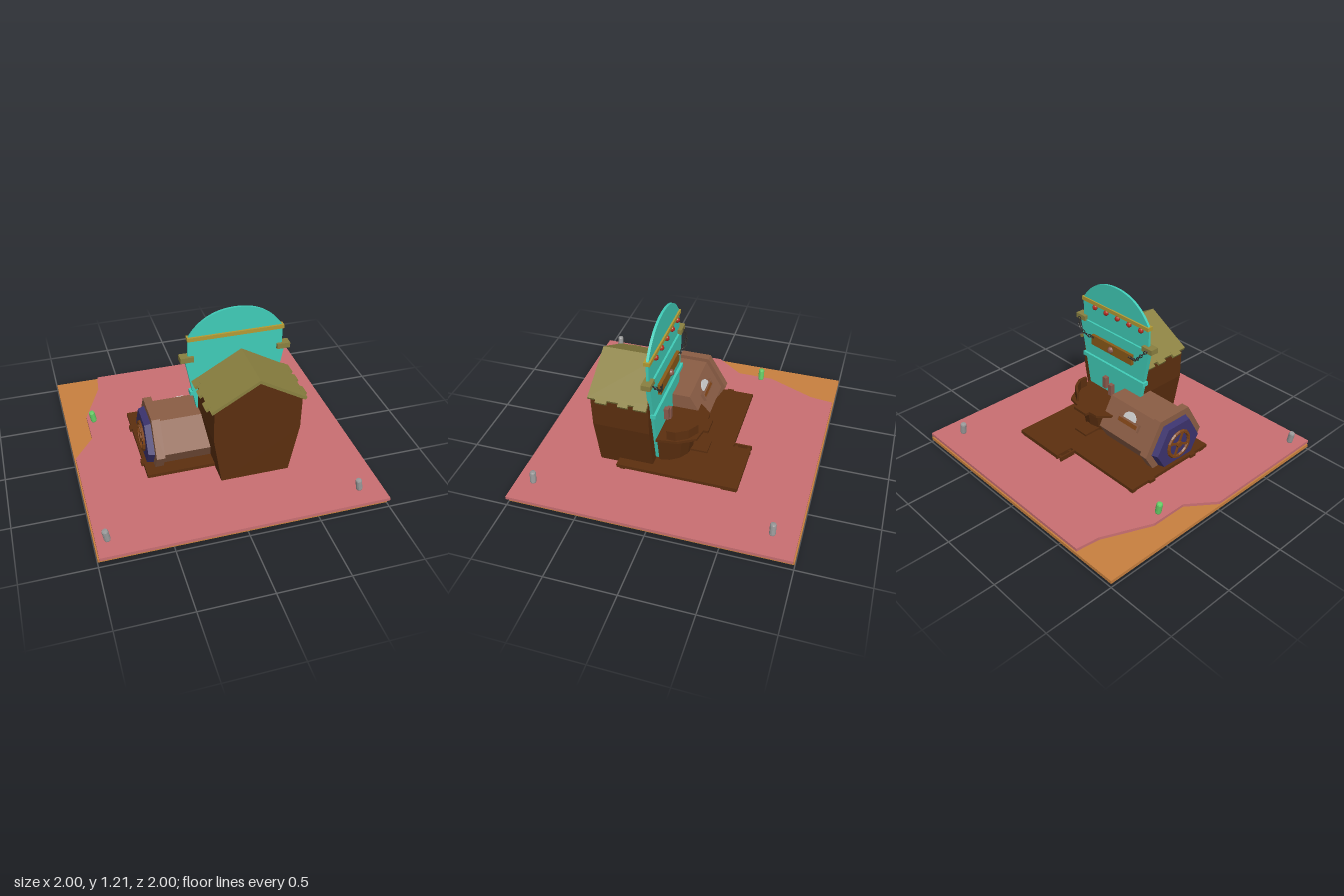
import * as THREE from 'three';

const mat = (color) => new THREE.MeshStandardMaterial({ color, flatShading: true, side: THREE.DoubleSide });
const M = {
  pink: mat(0xc96f72), orange: mat(0xc8803f), brown: mat(0x5c2f0f), teal: mat(0x40ccb8),
  olive: mat(0x8a8040), yellow: mat(0xb39b35), barrel: mat(0x8b5d45), navy: mat(0x3c336e),
  wheel: mat(0x7d4316), plank: mat(0x8a5a18), red: mat(0xb02a1c), iron: mat(0x2c2a28),
  grey: mat(0x999999), green: mat(0x66cc66), white: mat(0xcccccc), clay: mat(0x8a5a4c),
};

export function createModel() {
  const root = new THREE.Group();

  const add = (name, geo, m, parent = root) => {
    const mesh = new THREE.Mesh(geo, m);
    mesh.name = name;
    parent.add(mesh);
    return mesh;
  };
  // box given by its min and max on each axis
  const box = (name, m, x0, x1, y0, y1, z0, z1, parent = root) => {
    const b = add(name, new THREE.BoxGeometry(x1 - x0, y1 - y0, z1 - z0), m, parent);
    b.position.set((x0 + x1) / 2, (y0 + y1) / 2, (z0 + z1) / 2);
    return b;
  };
  const poly = (pts) => new THREE.Shape(pts.map(([x, y]) => new THREE.Vector2(x, y)));
  // upright outline in x,y between two z values
  const upright = (shape, z0, z1) =>
    new THREE.ExtrudeGeometry(shape, { depth: z1 - z0, bevelEnabled: false, curveSegments: 20 }).translate(0, 0, z0);
  // flat outline in x,z between two y values
  const slab = (pts, y0, y1) =>
    new THREE.ExtrudeGeometry(poly(pts), { depth: y1 - y0, bevelEnabled: false }).rotateX(Math.PI / 2).translate(0, y1, 0);

  // ground: lower board and upper board with a broken corner
  box('lowerBoard', M.orange, -1, 0.985, 0.035, 0.06, -1, 0.985);
  add('upperBoard', slab([[-0.99, 1], [1, 1], [1, -0.99], [-0.67, -0.99], [-0.69, -0.82],
    [-0.84, -0.47], [-0.84, -0.2], [-0.99, 0]], 0.06, 0.082), M.pink);

  // leaning corner pegs
  for (const [x, z, m] of [[0.82, -0.82, M.grey], [-0.8, -0.39, M.green], [-0.92, 0.87, M.grey], [0.82, 0.87, M.grey]]) {
    const prof = [[0, -0.044], [0.019, -0.044], [0.022, -0.036], [0.022, 0.034], [0.018, 0.043], [0, 0.046]];
    const peg = add('peg', new THREE.LatheGeometry(prof.map((p) => new THREE.Vector2(...p)), 12), m);
    peg.position.set(x, 0.14, z);
    peg.rotation.z = 0.17;
  }

  // wooden deck with feet, edge tabs and a small ladder
  add('deck', slab([[-0.54, 0.37], [0.52, 0.37], [0.52, -0.51], [0.11, -0.51], [0.11, -0.38], [-0.54, -0.38]], 0.1, 0.125), M.brown);
  for (const z of [-0.2, 0.21]) box('deckTab', M.brown, -0.555, -0.53, 0.1, 0.125, z - 0.025, z + 0.025);
  for (const [x, z] of [[-0.51, 0.33], [-0.51, -0.35], [0.49, 0.33]]) box('deckFoot', M.brown, x - 0.02, x + 0.02, 0.08, 0.1, z - 0.02, z + 0.02);
  box('deckBackFoot', M.brown, 0.12, 0.51, 0.08, 0.1, -0.5, -0.39);
  for (const x of [0.06, 0.1]) box('ladderRail', M.brown, x, x + 0.012, 0.09, 0.125, -0.51, -0.38);
  for (const z of [-0.5, -0.41]) box('ladderRung', M.brown, 0.06, 0.12, 0.1, 0.115, z, z + 0.02);

  // house body, wider towards the top
  const house = upright(poly([[-0.05, 0.08], [0.44, 0.08], [0.505, 0.45], [0.505, 0.69], [0.2, 0.875], [-0.11, 0.69], [-0.11, 0.45]]), 0.12, 0.515);
  const hp = house.attributes.position;
  for (let i = 0; i < hp.count; i++) if (hp.getZ(i) > 0.3) hp.setZ(i, 0.515 + Math.min(hp.getY(i) - 0.08, 0.6) * 0.03);
  house.computeVertexNormals();
  add('house', house, M.brown);

  // roof with ragged eaves
  const eave = 0.335, drop = 0.195;
  add('roof', upright(poly([[0.2 - eave, 0.893 - drop], [0.2, 0.893], [0.2 + eave, 0.893 - drop],
    [0.19 + eave, 0.873 - drop], [0.2, 0.868], [0.21 - eave, 0.873 - drop]]), 0.125, 0.54), M.olive);
  for (const s of [-1, 1]) for (const [z0, z1] of [[0.12, 0.21], [0.25, 0.32], [0.4, 0.48]]) {
    const tab = box('shingle', M.olive, -0.025, 0.025, -0.011, 0.011, z0, z1);
    tab.position.x = 0.2 + s * 0.33;
    tab.position.y = 0.689;
    tab.rotation.z = -s * 0.527;
  }

  // tall signboard with a round top
  const board = poly([[-0.06, 0.14], [0.38, 0.14], [0.515, 0.86], [0.495, 0.87], [0.495, 1.03]]);
  board.bezierCurveTo(0.42, 1.15, 0.31, 1.22, 0.155, 1.22);
  board.bezierCurveTo(0, 1.22, -0.11, 1.15, -0.18, 1.03);
  board.lineTo(-0.18, 0.87);
  board.lineTo(-0.2, 0.86);
  add('signboard', upright(board, 0.112, 0.13), M.teal);
  add('signboardLower', upright(poly([[-0.06, 0.14], [0.38, 0.14], [0.515, 0.86], [-0.2, 0.86]]), 0.098, 0.125), M.teal);
  box('signboardBand', M.teal, -0.165, 0.475, 0.565, 0.595, 0.08, 0.13);
  box('signboardTrim', M.yellow, -0.185, 0.5, 1.012, 1.04, 0.1, 0.145);
  for (const x of [-0.235, 0.455]) box('bracket', M.olive, x, x + 0.095, 0.853, 0.892, 0.085, 0.15);
  for (let i = 0; i < 5; i++) {
    const bulb = add('bulb', new THREE.SphereGeometry(0.021, 8, 6), M.red);
    bulb.position.set(-0.11 + i * 0.118, 0.995, 0.106);
  }

  // hanging plank on two chains
  box('hangingPlank', M.plank, -0.05, 0.37, 0.7, 0.78, 0.072, 0.095);
  const boss = add('plankBoss', new THREE.SphereGeometry(0.025, 8, 6), M.clay);
  boss.position.set(0.16, 0.74, 0.07);
  for (const s of [-1, 1]) {
    const path = new THREE.CatmullRomCurve3([[0.35, 0.87, 0.08], [0.32, 0.83, 0.055], [0.27, 0.78, 0.055], [0.19, 0.765, 0.07]]
      .map(([x, y, z]) => new THREE.Vector3(0.16 + s * x, y, z)));
    for (let i = 0; i < 10; i++) {
      const t = (i + 0.5) / 10;
      const link = add('chainLink', new THREE.TorusGeometry(0.01, 0.0035, 4, 8).scale(1.4, 1, 1), M.iron);
      link.position.copy(path.getPointAt(t));
      link.quaternion.setFromUnitVectors(new THREE.Vector3(1, 0, 0), path.getTangentAt(t));
      link.rotateX((i % 2) * Math.PI / 2);
    }
  }

  // six-sided barrel lying along x
  const hex = (name, m, x0, x1, rLeft, rRight) => {
    const c = add(name, new THREE.CylinderGeometry(rLeft, rRight, x1 - x0, 6).rotateZ(Math.PI / 2), m);
    c.position.set((x0 + x1) / 2, 0.245, 0.09);
  };
  hex('barrel', M.barrel, -0.42, 0.04, 0.243, 0.243);
  hex('barrelFlange', M.barrel, -0.47, -0.41, 0.276, 0.276);
  hex('barrelCap', M.navy, -0.515, -0.47, 0.205, 0.22);

  // spoked wheel on the cap
  const wheel = new THREE.Group();
  wheel.name = 'wheel';
  wheel.position.set(-0.518, 0.26, 0.09);
  wheel.rotation.y = Math.PI / 2;
  root.add(wheel);
  add('wheelRim', new THREE.TorusGeometry(0.1, 0.014, 6, 16), M.wheel, wheel);
  add('wheelHub', new THREE.CylinderGeometry(0.025, 0.025, 0.03, 8).rotateX(Math.PI / 2), M.wheel, wheel);
  for (let i = 0; i < 2; i++) add('wheelSpoke', new THREE.BoxGeometry(0.2, 0.016, 0.012), M.wheel, wheel).rotation.z = i * Math.PI / 2 + 0.4;

  // slot and half-round plate on the sloping back face of the barrel
  const slot = new THREE.Group();
  slot.name = 'slot';
  slot.position.set(-0.2, 0.36, -0.094);
  slot.rotation.set(Math.PI / 6, Math.PI, 0, 'YXZ');
  slot.rotation.x = -Math.PI / 6;
  root.add(slot);
  for (const y of [-0.022, 0.022]) box('slotFrame', M.barrel, -0.105, 0.105, y - 0.006, y + 0.006, -0.01, 0.018, slot);
  for (const x of [-0.1, 0.1]) box('slotFrameEnd', M.barrel, x - 0.006, x + 0.006, -0.022, 0.022, -0.01, 0.018, slot);
  box('slotInset', M.wheel, -0.095, 0.095, -0.018, 0.018, -0.01, 0.008, slot);
  const plate = add('halfRoundPlate', new THREE.CylinderGeometry(0.058, 0.058, 0.014, 16, 1, false, Math.PI / 2, Math.PI).rotateX(Math.PI / 2), M.white, slot);
  plate.position.set(0, 0.026, 0.005);

  // counter behind the signboard: tapered drum, foot plate, top and side wall
  const drum = add('counterDrum', new THREE.CylinderGeometry(0.225, 0.19, 0.2, 8, 1, false, Math.PI / 2, Math.PI), M.brown);
  drum.position.set(0.2, 0.23, 0.09);
  box('counterFoot', M.brown, 0.12, 0.24, 0.135, 0.15, -0.22, 0.08);
  add('counterTop', slab([[-0.06, -0.08], [0.04, -0.185], [0.11, -0.19], [0.11, -0.225], [0.24, -0.225], [0.24, -0.19],
    [0.34, -0.17], [0.41, -0.05], [0.43, 0.1], [0.02, 0.1], [0.04, -0.08]], 0.325, 0.345), M.brown);
  add('counterWall', slab([[0.27, -0.15], [0.34, -0.1], [0.385, -0.03], [0.385, 0.03], [0.405, 0.03], [0.405, -0.035],
    [0.355, -0.115], [0.275, -0.165]], 0.345, 0.42), M.brown);

  // two mugs on the counter
  for (const [x, y] of [[0.23, 0.43], [0.17, 0.39]]) box('mug', M.clay, x - 0.018, x + 0.018, y - 0.045, y + 0.045, 0.065, 0.1);

  return root;
}
